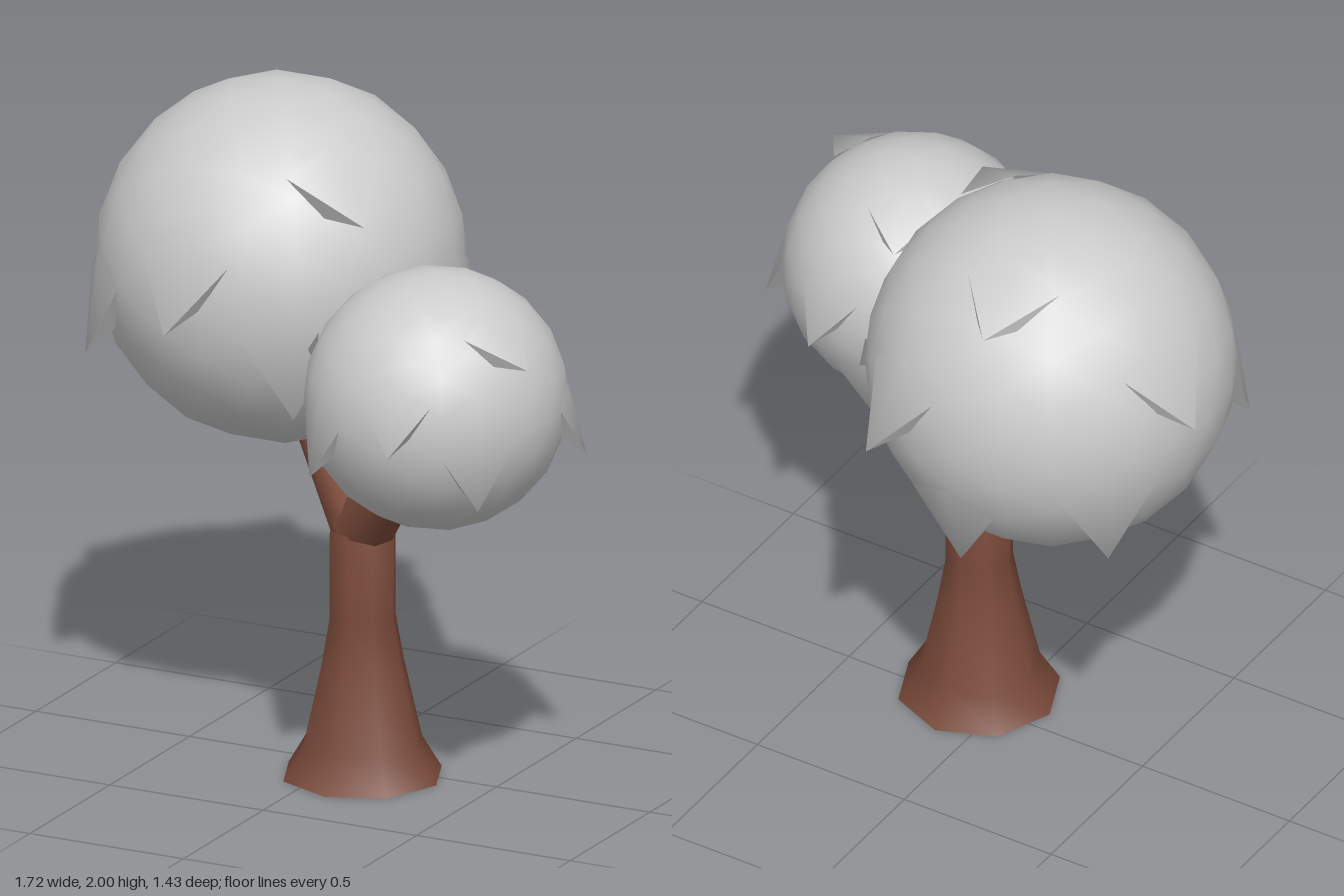
import * as THREE from 'three';
import { mergeGeometries } from 'three/addons/utils/BufferGeometryUtils.js';

const UP = new THREE.Vector3(0, 1, 0);

// Leaf tip positions around a crown of radius 0.54
const TIPS = [
  [-0.06, -0.07, 0.62], [0.47, 0.27, 0.38], [0.61, -0.22, -0.07], [0.27, -0.07, -0.58], [-0.06, 0.39, -0.47],
  [-0.59, 0.08, -0.16], [-0.44, -0.25, 0.38], [0.28, -0.32, 0.46], [0.04, -0.46, -0.43], [-0.40, -0.35, -0.33],
];

// One pointed flap that hangs down and stands off the crown
function leafFlap(tip) {
  const T = new THREE.Vector3(...tip);
  const out = T.clone().normalize();
  const side = UP.clone().cross(out).normalize();
  const rise = out.clone().cross(side);
  const onCrown = (s, t, r) =>
    out.clone().addScaledVector(side, s).addScaledVector(rise, t).normalize().multiplyScalar(r);
  const top = onCrown(0, 0.55, 0.542);
  const A = onCrown(-0.3, 0.38, 0.545), B = onCrown(0.3, 0.38, 0.545);
  const EL = onCrown(-0.12, 0.1, 0.535), ER = onCrown(0.12, 0.1, 0.535);
  const corners = [top, A, T, top, T, B, A, EL, T, T, ER, B, EL, ER, T];
  const geo = new THREE.BufferGeometry().setFromPoints(corners);
  geo.computeVertexNormals();
  // The upper side shades as one with the crown; the underside stays sharp
  for (let i = 0; i < 6; i++) {
    const n = corners[i].clone().normalize();
    geo.attributes.normal.setXYZ(i, n.x, n.y, n.z);
  }
  return geo;
}

function crownGeometry() {
  const ball = new THREE.IcosahedronGeometry(0.54, 3);
  ball.deleteAttribute('uv');
  return mergeGeometries([ball, ...TIPS.map(leafFlap)]);
}

export function createModel() {
  const tree = new THREE.Group();
  tree.name = 'tree';
  const leaves = new THREE.MeshStandardMaterial({ color: 0xcccccc });
  const bark = new THREE.MeshStandardMaterial({ color: 0x7a4a3a, side: THREE.DoubleSide });

  const add = (name, geo, mat, x, y, z) => {
    const mesh = new THREE.Mesh(geo, mat);
    mesh.name = name;
    mesh.position.set(x, y, z);
    tree.add(mesh);
    return mesh;
  };

  // Trunk with flared foot, open underneath
  const profile = [[0.24, 0], [0.18, 0.1], [0.125, 0.34], [0.1, 0.48], [0.1, 0.74], [0.045, 0.81], [0, 0.82]];
  add('trunk', new THREE.LatheGeometry(profile.map(p => new THREE.Vector2(...p)), 8), bark, 0.1, 0, 0.07);

  // Two tapering branches from the fork into the crowns
  const fork = new THREE.Vector3(0.1, 0.75, 0.07);
  const branch = (name, x, y, z) => {
    const dir = new THREE.Vector3(x, y, z).sub(fork);
    const mid = fork.clone().addScaledVector(dir, 0.5);
    const mesh = add(name, new THREE.CylinderGeometry(0.055, 0.095, dir.length(), 8), bark, mid.x, mid.y, mid.z);
    mesh.quaternion.setFromUnitVectors(UP, dir.normalize());
  };
  branch('rightBranch', -0.18, 1.0, -0.13);
  branch('leftBranch', 0.33, 1.01, 0.21);

  // Crowns: the small one is a turned, scaled copy
  const crown = crownGeometry();
  add('largeCrown', crown, leaves, -0.27, 1.46, -0.13);
  const small = add('smallCrown', crown, leaves, 0.45, 1.262, 0.28);
  small.scale.setScalar(0.713);
  small.rotation.y = 0.25;

  return tree;
}
